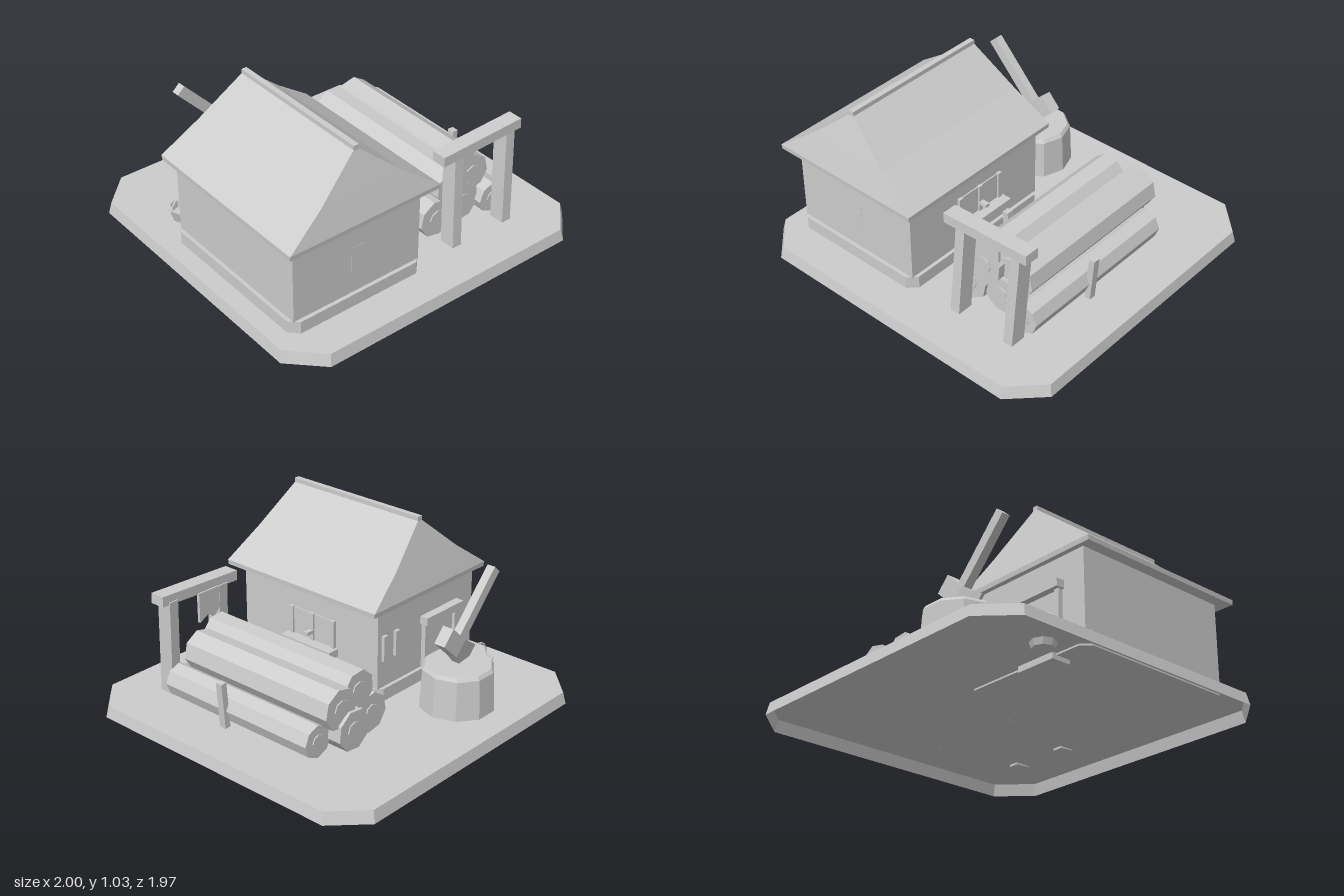
import * as THREE from 'three';

const stone = new THREE.MeshStandardMaterial({ color: 0xcccccc, flatShading: true, side: THREE.DoubleSide });
stone.name = 'plain grey';

const V = (x, y, z) => new THREE.Vector3(x, y, z);

export function createModel() {
  const model = new THREE.Group();
  model.name = 'woodcutterHut';

  function add(name, geo, x = 0, y = 0, z = 0, parent = model) {
    const m = new THREE.Mesh(geo, stone);
    m.name = name;
    m.position.set(x, y, z);
    parent.add(m);
    return m;
  }
  // Box given by its lower and upper corners
  function box(name, x0, x1, y0, y1, z0, z1) {
    return add(name, new THREE.BoxGeometry(x1 - x0, y1 - y0, z1 - z0), (x0 + x1) / 2, (y0 + y1) / 2, (z0 + z1) / 2);
  }
  // Square timber between two points
  function beam(name, a, b, w, d) {
    const dir = b.clone().sub(a);
    const m = add(name, new THREE.BoxGeometry(w, dir.length(), d));
    m.position.copy(a).add(b).multiplyScalar(0.5);
    m.quaternion.setFromUnitVectors(V(0, 1, 0), dir.normalize());
    return m;
  }
  // Horizontal rectangle with optional cut corners, counter-clockwise from above
  function ring(cx, cz, hx, hz, c, y) {
    const pts = c
      ? [[hx - c, hz], [hx, hz - c], [hx, c - hz], [hx - c, -hz], [c - hx, -hz], [-hx, c - hz], [-hx, hz - c], [c - hx, hz]]
      : [[hx, hz], [hx, -hz], [-hx, -hz], [-hx, hz]];
    return pts.map(([x, z]) => V(cx + x, y, cz + z));
  }
  // Skin over stacked rings, closed on top, optionally closed below
  function loft(rings, bottom) {
    const tris = [];
    const n = rings[0].length;
    for (let k = 0; k + 1 < rings.length; k++) {
      for (let i = 0; i < n; i++) {
        const j = (i + 1) % n;
        const [a, b, c, d] = [rings[k][i], rings[k][j], rings[k + 1][j], rings[k + 1][i]];
        tris.push(a, b, c, a, c, d);
      }
    }
    const top = rings[rings.length - 1];
    for (let i = 1; i + 1 < n; i++) {
      tris.push(top[0], top[i], top[i + 1]);
      if (bottom) tris.push(rings[0][0], rings[0][i + 1], rings[0][i]);
    }
    const g = new THREE.BufferGeometry().setFromPoints(tris);
    g.computeVertexNormals();
    return g;
  }

  // Ground slab, hollow underneath
  add('groundSlab', loft([ring(0, 0, 1, 0.985, 0.18, 0), ring(0, 0, 0.985, 0.97, 0.175, 0.07)], false));

  // House body
  const hx = -0.447;
  add('foundation', loft([ring(hx, 0.233, 0.435, 0.524, 0.05, 0.06), ring(hx, 0.233, 0.435, 0.524, 0.05, 0.145)], true));
  box('walls', hx - 0.414, hx + 0.414, 0.14, 0.62, -0.27, 0.735);

  // Roof with slightly flared slopes
  add('roof', loft([
    ring(hx, 0.253, 0.48, 0.553, 0, 0.607),
    ring(hx, 0.253, 0.482, 0.556, 0, 0.635),
    ring(hx, 0.253, 0.262, 0.516, 0, 0.795),
    ring(hx, 0.253, 0.012, 0.46, 0, 1.008)
  ], true));
  box('ridgeBeam', hx - 0.016, hx + 0.016, 0.995, 1.03, -0.208, 0.715);

  // Back door with frame, lintel, latch and step
  box('door', -0.67, -0.445, 0.11, 0.42, -0.282, -0.26);
  for (const x of [-0.69, -0.425]) box('doorFrame', x - 0.016, x + 0.016, 0.1, 0.43, -0.298, -0.26);
  box('doorLintel', -0.72, -0.395, 0.42, 0.465, -0.322, -0.26);
  box('doorLatch', -0.64, -0.62, 0.25, 0.28, -0.3, -0.28);
  box('doorStep', -0.68, -0.43, 0.035, 0.11, -0.32, -0.2);

  // Small battens on the back wall
  for (const x of [-0.08, -0.18]) box('wallBatten', x - 0.016, x + 0.016, 0.31, 0.46, -0.29, -0.26);

  // Side window with bars and sill
  box('sideWindow', -0.04, -0.025, 0.3, 0.46, 0.05, 0.36);
  for (const z of [0.05, 0.205, 0.36]) box('windowBar', -0.035, -0.014, 0.3, 0.465, z - 0.014, z + 0.014);
  box('windowSill', -0.04, 0.038, 0.253, 0.298, 0.02, 0.39);
  box('windowPeg', -0.025, 0.033, 0.345, 0.365, 0.19, 0.22);
  // Front window set almost flush
  box('frontWindow', -0.49, -0.405, 0.285, 0.43, 0.73, 0.736);

  // Log pile: x, y, radius, back z, front z
  const logs = [
    [0.24, 0.188, 0.115, -0.465, 0.58],
    [0.445, 0.19, 0.118, -0.525, 0.56],
    [0.632, 0.17, 0.095, -0.44, 0.605],
    [0.345, 0.362, 0.115, -0.465, 0.585],
    [0.525, 0.337, 0.118, -0.505, 0.54]
  ];
  logs.forEach(([x, y, r, z0, z1], i) => {
    const g = new THREE.CylinderGeometry(r, r, z1 - z0, 8).rotateX(Math.PI / 2).rotateZ(0.2 + i * 0.3);
    add('log', g, x, y, (z0 + z1) / 2);
    for (const z of [z0 - 0.003, z1 + 0.003]) {
      add('logHeart', new THREE.CylinderGeometry(r * 0.45, r * 0.45, 0.008, 8).rotateX(Math.PI / 2), x, y, z);
    }
  });
  // Stakes holding the pile
  beam('leftPileStake', V(0.152, 0.07, 0.155), V(0.134, 0.342, 0.155), 0.036, 0.042);
  beam('rightPileStake', V(0.718, 0.07, 0.155), V(0.738, 0.342, 0.155), 0.036, 0.042);

  // Leaning gate frame in front of the logs
  beam('gatePost', V(0.262, 0.06, 0.675), V(0.282, 0.63, 0.64), 0.06, 0.095);
  beam('gatePost', V(0.632, 0.06, 0.675), V(0.652, 0.65, 0.64), 0.06, 0.095);
  beam('gateBeam', V(0.17, 0.642, 0.645), V(0.725, 0.664, 0.645), 0.06, 0.09);

  // Ragged board hanging from the beam
  const board = new THREE.Shape([[0.318, 0.63], [0.47, 0.63], [0.47, 0.455], [0.4, 0.492], [0.365, 0.46], [0.318, 0.5]]
    .map(([x, y]) => new THREE.Vector2(x, y)));
  add('hangingBoard', new THREE.ExtrudeGeometry(board, { depth: 0.018, bevelEnabled: false }), 0, 0, 0.59);

  // Chopping block
  const block = [[0, 0.07], [0.215, 0.07], [0.203, 0.3], [0.188, 0.32], [0, 0.32]].map(([r, y]) => new THREE.Vector2(r, y));
  add('choppingBlock', new THREE.LatheGeometry(block, 10).rotateY(Math.PI / 10), -0.315, 0, -0.605);

  // Axe: the head narrows to its edge in the block, handle points up and aside
  const axe = new THREE.Group();
  axe.name = 'axe';
  axe.position.set(-0.305, 0.415, -0.592);
  axe.rotation.z = -0.82;
  model.add(axe);
  const head = new THREE.BoxGeometry(0.11, 0.3, 0.07, 1, 2, 1);
  const p = head.attributes.position;
  for (let i = 0; i < p.count; i++) {
    if (p.getY(i) < -0.1) p.setXYZ(i, p.getX(i) * 1.5, p.getY(i), p.getZ(i) * 0.25);
  }
  add('axeHead', head, 0, 0.0, 0, axe);
  add('axeHandle', new THREE.BoxGeometry(0.5, 0.06, 0.05), -0.23, 0.02, 0, axe);

  // Bucket with open top and arched handle
  const pail = [[0, 0.035], [0.06, 0.035], [0.095, 0.145], [0.08, 0.145], [0.065, 0.1], [0, 0.1]].map(([r, y]) => new THREE.Vector2(r, y));
  add('bucket', new THREE.LatheGeometry(pail, 8), -0.73, 0, -0.43);
  add('bucketHandle', new THREE.TorusGeometry(0.083, 0.006, 4, 8, Math.PI), -0.73, 0.14, -0.43);

  return model;
}
